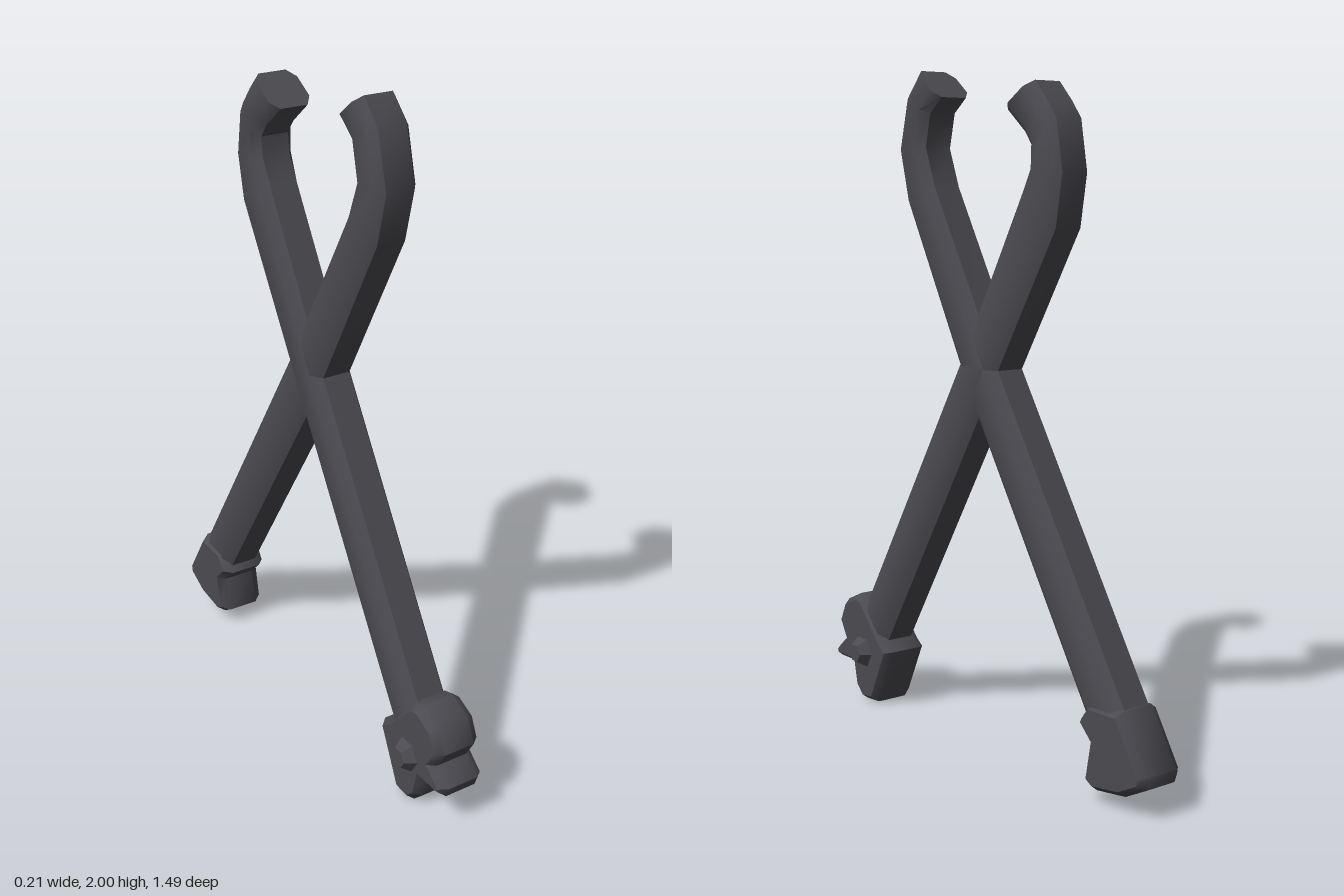
import * as THREE from 'three';
import { toCreasedNormals } from 'three/addons/utils/BufferGeometryUtils.js';

const iron = new THREE.MeshStandardMaterial({ color: 0x4b4a50 });
iron.name = 'dark iron';

// Chamfered bar section: [x, position across the bar from -1 to 1]
const SECTION = [
  [0.066, -0.55], [0.066, 0.55], [0.044, 1], [-0.044, 1],
  [-0.066, 0.55], [-0.066, -0.55], [-0.044, -1], [0.044, -1],
];

// Loft a bar through stations given by its two edges: [z1, y1, z2, y2]
function barGeometry(stations) {
  const pos = [], index = [], n = SECTION.length;
  for (const [z1, y1, z2, y2] of stations) {
    for (const [x, u] of SECTION) {
      const t = (u + 1) / 2;
      pos.push(x, y1 + (y2 - y1) * t, z1 + (z2 - z1) * t);
    }
  }
  const last = (stations.length - 1) * n;
  for (let i = 0; i < last; i += n) {
    for (let j = 0; j < n; j++) {
      const k = (j + 1) % n;
      index.push(i + j, i + k, i + n + k, i + j, i + n + k, i + n + j);
    }
  }
  for (let j = 1; j < n - 1; j++) {
    index.push(0, j + 1, j, last, last + j, last + j + 1);
  }
  const g = new THREE.BufferGeometry();
  g.setAttribute('position', new THREE.Float32BufferAttribute(pos, 3));
  g.setIndex(index);
  return toCreasedNormals(g, 0.7);
}

// Bevelled block from a side profile of [z, y] points
function blockGeometry(profile, width) {
  const bevel = 0.025;
  const shape = new THREE.Shape(profile.map(([z, y]) => new THREE.Vector2(z, y)));
  const g = new THREE.ExtrudeGeometry(shape, {
    depth: width - 2 * bevel, bevelThickness: bevel, bevelSize: 0.018,
    bevelOffset: -0.018 + 0.004, bevelSegments: 1,
  });
  g.translate(0, 0, -(width - 2 * bevel) / 2);
  g.rotateY(-Math.PI / 2);
  return toCreasedNormals(g, 0.8);
}

export function createModel() {
  const model = new THREE.Group();
  model.name = 'crossedBars';
  const add = (name, geometry) => {
    const mesh = new THREE.Mesh(geometry, iron);
    mesh.name = name;
    model.add(mesh);
    return mesh;
  };

  // Bar rising from the front foot to the rear hook
  add('frontFootBar', barGeometry([
    [0.63, 0.26, 0.50, 0.18], [0.085, 1.15, -0.04, 1.06],
    [-0.196, 1.64, -0.34, 1.55], [-0.233, 1.71, -0.366, 1.70],
    [-0.24, 1.77, -0.34, 1.845], [-0.21, 1.81, -0.30, 1.895],
    [-0.133, 1.873, -0.25, 1.947],
  ]));

  // Bar rising from the rear foot to the front hook
  add('rearFootBar', barGeometry([
    [-0.53, 0.16, -0.66, 0.24], [0.04, 1.06, -0.085, 1.15],
    [0.345, 1.62, 0.21, 1.66], [0.382, 1.77, 0.255, 1.777],
    [0.34, 1.93, 0.233, 1.875], [0.276, 2.0, 0.175, 1.92],
  ]));

  // Knobbly front foot with a forward lip
  add('frontFoot', blockGeometry([
    [0.477, 0.217], [0.44, 0.19], [0.525, 0.01], [0.589, 0.005],
    [0.626, 0.042], [0.642, 0.116], [0.735, 0.116], [0.745, 0.143],
    [0.69, 0.19], [0.721, 0.244], [0.69, 0.312], [0.62, 0.344], [0.584, 0.335],
  ], 0.15));

  // Blunt spurs on both sides of the front foot
  for (const side of [1, -1]) {
    const g = new THREE.CylinderGeometry(0.03, 0.065, 0.05, 6);
    g.rotateZ(-side * Math.PI / 2);
    const spur = add(side > 0 ? 'leftSpur' : 'rightSpur', toCreasedNormals(g, 0.8));
    spur.position.set(side * 0.081, 0.165, 0.58);
  }

  // Chisel-shaped rear foot
  add('rearFoot', blockGeometry([
    [-0.515, 0.275], [-0.637, 0.28], [-0.732, 0.127], [-0.727, 0.095],
    [-0.647, 0.053], [-0.536, 0.037], [-0.499, 0.058], [-0.52, 0.17], [-0.472, 0.217],
  ], 0.15));

  return model;
}
